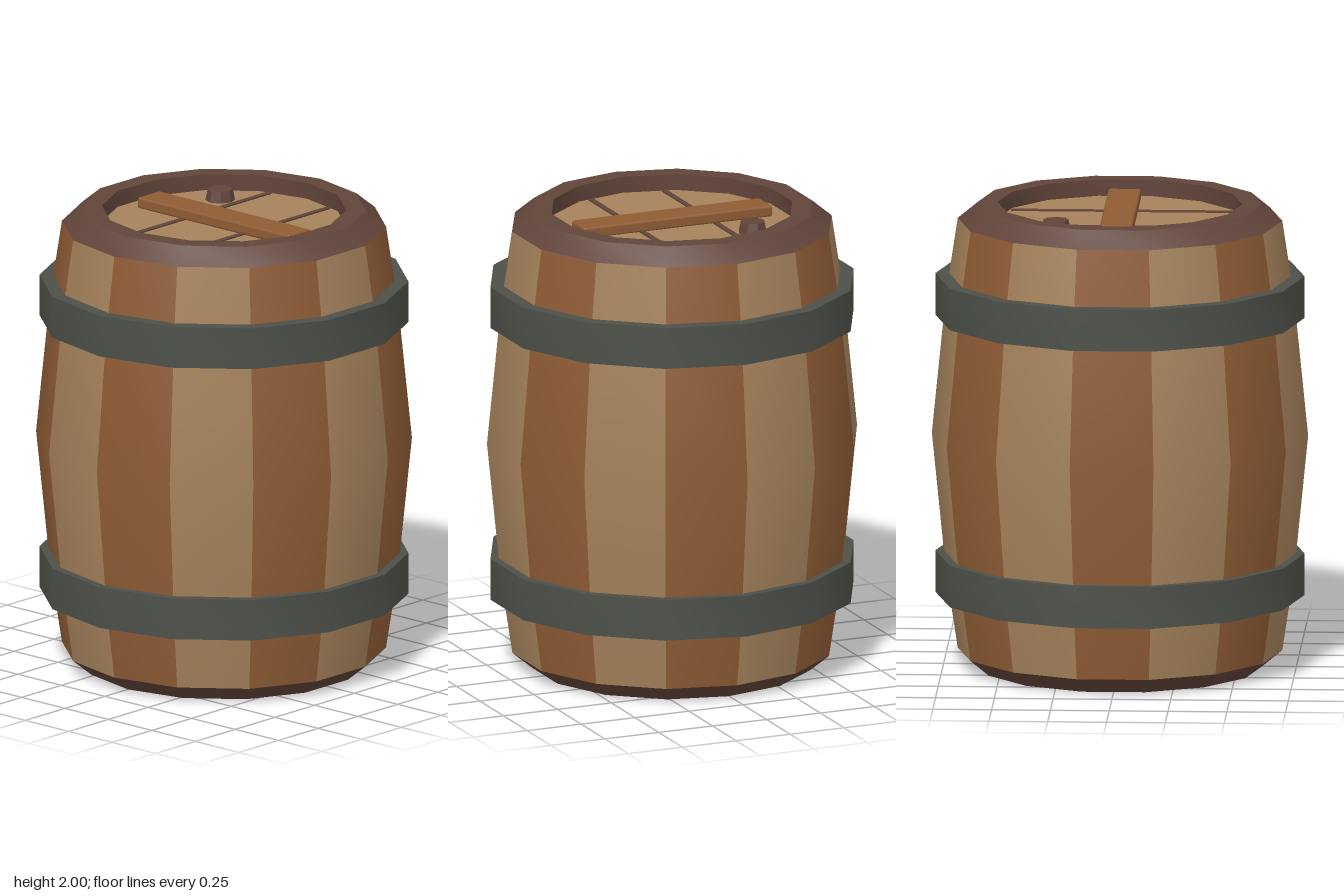
import * as THREE from 'three';
import { toCreasedNormals } from 'three/addons/utils/BufferGeometryUtils.js';
import { RoundedBoxGeometry } from 'three/addons/geometries/RoundedBoxGeometry.js';

const SIDES = 14;
const LID_Y = 1.93;

const material = (name, color) => {
  const m = new THREE.MeshStandardMaterial({ color });
  m.name = name;
  return m;
};

// Revolve [radius, height] pairs, with a corner on the +x axis
const lathe = (profile) => new THREE.LatheGeometry(
  profile.map(([r, y]) => new THREE.Vector2(r, y)), SIDES, Math.PI / 2);

// Same, with sharp profile edges and smooth sides
const sharpLathe = (profile) => toCreasedNormals(lathe(profile), 0.5);

export function createModel() {
  const barrel = new THREE.Group();
  barrel.name = 'barrel';

  const lightWood = material('light wood', 0xa5825b);
  const brownWood = material('brown wood', 0x8f5c35);
  const darkWood = material('dark wood', 0x61443a);
  const iron = material('iron', 0x4d5049);

  const add = (name, geometry, mat, x = 0, y = 0, z = 0) => {
    const mesh = new THREE.Mesh(geometry, mat);
    mesh.name = name;
    mesh.position.set(x, y, z);
    barrel.add(mesh);
    return mesh;
  };

  // Bulging staves in two alternating woods
  const staveProfile = [[0.69, 0.07], [0.74, 0.4], [0.8, 1], [0.74, 1.6], [0.69, 1.93]];
  const staves = lathe(staveProfile);
  const perStave = (staveProfile.length - 1) * 6;
  for (let i = 0; i < SIDES; i++) staves.addGroup(i * perStave, perStave, i % 2);
  add('staves', staves, [lightWood, brownWood]);

  // Chamfered base and top rim
  add('base', sharpLathe([[0, 0], [0.605, 0], [0.69, 0.07]]), darkWood);
  add('topRim', sharpLathe([[0.69, 1.93], [0.605, 2], [0.52, 2], [0.52, LID_Y - 0.01]]), darkWood);

  // Iron hoops
  for (const [name, y] of [['lowerHoop', 0.4], ['upperHoop', 1.6]]) {
    const h = 0.09;
    add(name, sharpLathe([[0.72, -h], [0.785, -h], [0.785, h], [0.72, h], [0.72, -h]]), iron, 0, y);
  }

  // Recessed lid with plank seams
  add('lid', new THREE.CircleGeometry(0.525, SIDES).rotateX(-Math.PI / 2), lightWood, 0, LID_Y);
  for (const z of [-0.17, 0.17]) {
    add('lidSeam', new THREE.BoxGeometry(0.94, 0.008, 0.024), darkWood, 0, LID_Y + 0.002, z);
  }

  // Crossbar and bung
  add('lidCrossbar', new RoundedBoxGeometry(0.14, 0.05, 0.875, 1, 0.011), brownWood, 0, LID_Y + 0.022);
  const bung = toCreasedNormals(new THREE.CylinderGeometry(0.053, 0.063, 0.05, 8), 0.5);
  add('bung', bung, darkWood, 0.26, LID_Y + 0.024, -0.26);

  return barrel;
}
